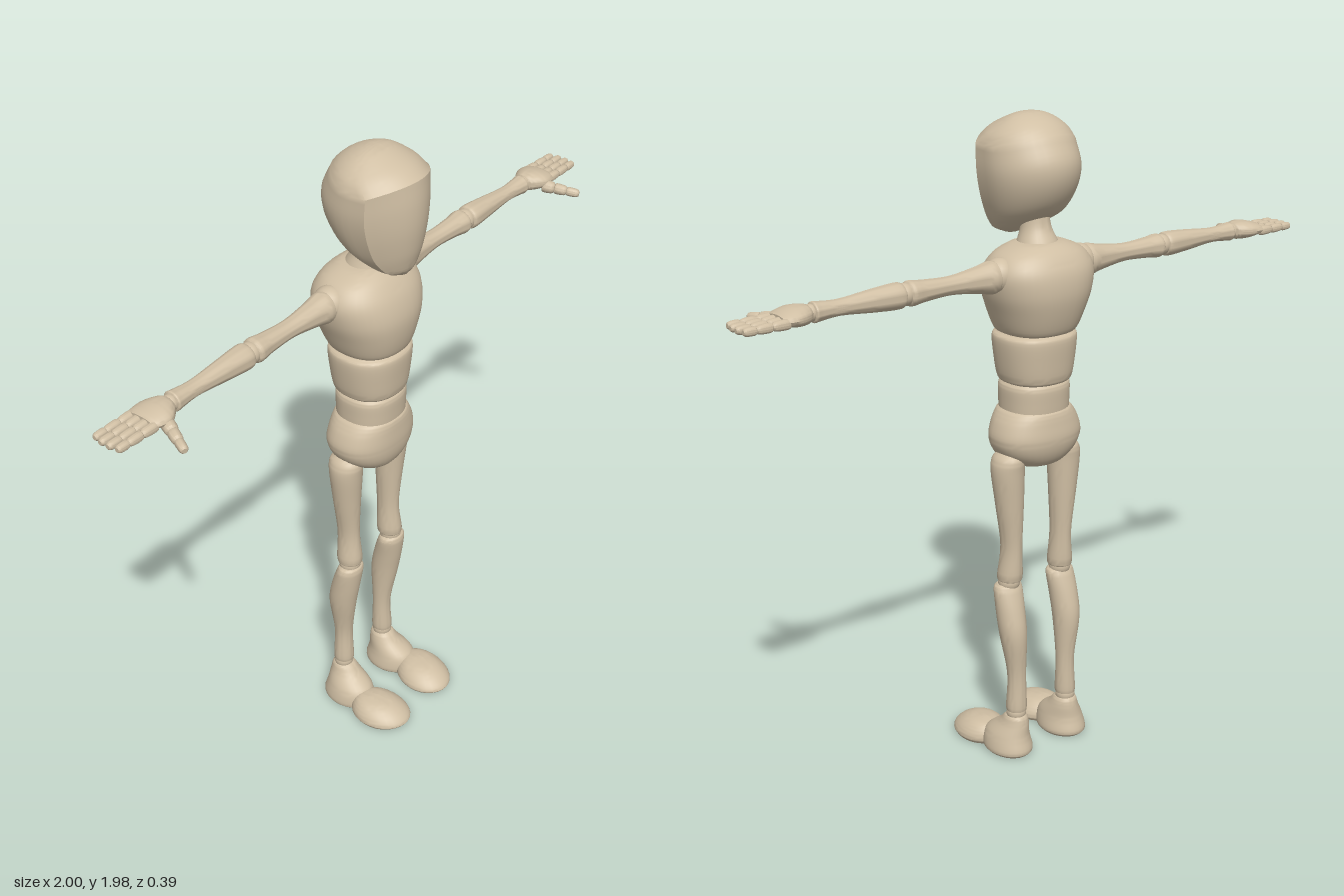
import * as THREE from 'three';
import { toCreasedNormals } from 'three/addons/utils/BufferGeometryUtils.js';

const wood = new THREE.MeshStandardMaterial({ color: 0xd0bfa4 });
wood.name = 'pale wood';

// Smoothly interpolates the rows of section values
function resample(rows, steps) {
  const curve = new THREE.CubicInterpolant(rows.map((_, i) => i), rows.flat(), rows[0].length);
  const out = [];
  for (let i = 0; i <= (rows.length - 1) * steps; i++) out.push([...curve.evaluate(i / steps)]);
  return out;
}

// Section of a row [y, centreX, centreZ, radiusX, radiusZ]
function oval([y, cx, cz, rx, rz], a) {
  return [cx + Math.max(rx, 0.001) * Math.sin(a), y, cz + Math.max(rz, 0.001) * Math.cos(a)];
}

// Squarer oval for the torso
function fullOval([y, cx, cz, rx, rz], a) {
  const p = (v) => Math.sign(v) * Math.abs(v) ** 0.87;
  return [cx + rx * p(Math.sin(a)), y, cz + rz * p(Math.cos(a))];
}

// Section of the head [y, halfWidth, front, back, faceAmount]: shallow face, straight sides, round back
function headSection([y, w, front, back, k], a) {
  const u = a > Math.PI ? a / Math.PI - 2 : a / Math.PI;
  const v = Math.abs(u), side = Math.sign(u);
  const crease = back + 0.73 * (front - back), mid = (front + back) / 2;
  let x, z;
  if (v <= 0.4001) {
    const t = v / 0.4;
    x = 0.96 * w * t;
    z = crease + (front - crease) * (1 - t * t);
  } else if (v <= 0.5501) {
    const t = (v - 0.4) / 0.15;
    x = w * (0.96 + 0.04 * t);
    z = crease + (mid - crease) * t;
  } else {
    const b = ((v - 0.55) / 0.45) * Math.PI / 2;
    x = w * Math.cos(b);
    z = mid - (mid - back) * Math.sin(b);
  }
  x = side * THREE.MathUtils.lerp(w * Math.sin(v * Math.PI), x, k);
  z = THREE.MathUtils.lerp(mid + (front - mid) * Math.cos(v * Math.PI), z, k);
  return [x, y - 1.5 * x * x, z];
}

// Closed skin over rings stacked upwards
function skin(rings, section, sides) {
  const pos = [], index = [];
  for (const r of rings) {
    for (let i = 0; i < sides; i++) pos.push(...section(r, (i / sides) * Math.PI * 2));
  }
  const n = rings.length;
  for (let j = 0; j < n - 1; j++) {
    for (let i = 0; i < sides; i++) {
      const a = j * sides + i, b = j * sides + (i + 1) % sides;
      index.push(a, b, b + sides, a, b + sides, a + sides);
    }
  }
  for (let i = 1; i < sides - 1; i++) {
    const t = (n - 1) * sides;
    index.push(0, i + 1, i, t, t + i, t + i + 1);
  }
  const g = new THREE.BufferGeometry();
  g.setAttribute('position', new THREE.Float32BufferAttribute(pos, 3));
  g.setIndex(index);
  return toCreasedNormals(g, 0.5);
}

function add(parent, name, geometry, x = 0, y = 0, z = 0) {
  const m = new THREE.Mesh(geometry, wood);
  m.name = name;
  m.position.set(x, y, z);
  parent.add(m);
  return m;
}

const loft = (rows, section = oval, sides = 28, steps = 5) => skin(resample(rows, steps), section, sides);
const ball = (r) => new THREE.SphereGeometry(r, 24, 16);

// One rounded finger joint along +y
const joint = (len, r) => loft([
  [0, 0, 0, r * 0.7, r * 0.7], [len * 0.15, 0, 0, r, r],
  [len * 0.8, 0, 0, r * 0.92, r * 0.92], [len, 0, 0, r * 0.55, r * 0.55],
], oval, 14, 3);

function buildTorso(body) {
  add(body, 'neck', loft([
    [1.58, 0, -0.055, 0.075, 0.072], [1.615, 0, -0.053, 0.06, 0.06],
    [1.66, 0, -0.045, 0.044, 0.044], [1.73, 0, -0.04, 0.04, 0.04],
  ]));
  add(body, 'chest', loft([
    [1.35, 0, -0.042, 0.1, 0.1], [1.362, 0, -0.043, 0.118, 0.118], [1.42, 0, -0.046, 0.142, 0.136],
    [1.48, 0, -0.05, 0.163, 0.143], [1.54, 0, -0.055, 0.168, 0.132], [1.585, 0, -0.057, 0.14, 0.105],
    [1.61, 0, -0.056, 0.09, 0.075], [1.617, 0, -0.055, 0.055, 0.055],
  ], fullOval, 40));
  add(body, 'abdomen', loft([
    [1.198, 0, -0.04, 0.09, 0.088], [1.21, 0, -0.04, 0.106, 0.104], [1.27, 0, -0.04, 0.117, 0.112],
    [1.335, 0, -0.04, 0.122, 0.116], [1.35, 0, -0.04, 0.108, 0.104],
  ], fullOval, 40));
  add(body, 'waist', loft([
    [1.1, 0, -0.038, 0.103, 0.095], [1.14, 0, -0.038, 0.104, 0.097],
    [1.185, 0, -0.038, 0.104, 0.098], [1.2, 0, -0.038, 0.095, 0.09],
  ], fullOval, 40));
  add(body, 'pelvis', loft([
    [0.935, 0, -0.035, 0.04, 0.045], [0.95, 0, -0.037, 0.085, 0.08], [0.985, 0, -0.04, 0.128, 0.1],
    [1.03, 0, -0.042, 0.146, 0.108], [1.075, 0, -0.04, 0.135, 0.105], [1.108, 0, -0.038, 0.115, 0.1],
    [1.12, 0, -0.037, 0.1, 0.09],
  ], fullOval, 40));
  // Head: lower face and skull cap meet at a sharp brow
  const face = resample([
    [1.622, 0.02, 0.092, 0.05, 1], [1.64, 0.055, 0.105, 0.01, 1], [1.665, 0.08, 0.114, -0.045, 1],
    [1.71, 0.107, 0.126, -0.118, 1], [1.78, 0.13, 0.136, -0.163, 1], [1.85, 0.142, 0.137, -0.172, 1],
    [1.92, 0.141, 0.13, -0.138, 1],
  ], 5);
  const cap = resample([
    [1.92, 0.141, 0.13, -0.138, 1], [1.945, 0.125, 0.092, -0.112, 0.35], [1.965, 0.09, 0.045, -0.08, 0],
    [1.977, 0.05, 0.01, -0.045, 0], [1.98, 0.001, -0.019, -0.021, 0],
  ], 5);
  add(body, 'head', skin([...face, ...cap.slice(1)], headSection, 40));
}

function buildLeg(body, s) {
  const leg = new THREE.Group();
  leg.name = s > 0 ? 'leftLeg' : 'rightLeg';
  body.add(leg);
  const part = (name, rows) => add(leg, name, loft(rows.map(([y, x, ...r]) => [y, s * x, ...r])));
  part('thigh', [
    [0.575, 0.098, -0.045, 0.03, 0.032], [0.59, 0.098, -0.045, 0.038, 0.041], [0.69, 0.096, -0.05, 0.031, 0.037],
    [0.82, 0.102, -0.05, 0.042, 0.044], [0.93, 0.107, -0.048, 0.05, 0.052], [0.975, 0.104, -0.048, 0.045, 0.052],
    [1.0, 0.1, -0.048, 0.02, 0.025],
  ]);
  add(leg, 'kneeBall', ball(0.034), s * 0.1, 0.57, -0.043);
  part('shin', [
    [0.145, 0.098, -0.076, 0.027, 0.029], [0.158, 0.098, -0.076, 0.032, 0.033], [0.27, 0.097, -0.076, 0.029, 0.03],
    [0.4, 0.105, -0.07, 0.041, 0.045], [0.48, 0.105, -0.056, 0.045, 0.045], [0.55, 0.102, -0.04, 0.047, 0.037],
    [0.565, 0.102, -0.038, 0.036, 0.028],
  ]);
  add(leg, 'ankleBall', ball(0.031), s * 0.099, 0.137, -0.076);
  part('heel', [
    [0, 0.108, -0.045, 0.062, 0.08], [0.015, 0.108, -0.045, 0.07, 0.09], [0.06, 0.107, -0.043, 0.06, 0.08],
    [0.1, 0.1, -0.066, 0.043, 0.052], [0.125, 0.099, -0.075, 0.033, 0.037], [0.132, 0.099, -0.075, 0.02, 0.022],
  ]);
  // Toe cap, longer on the inner side
  const toe = add(leg, 'toe', loft([
    [0, 0, 0.01, 0.074, 0.09], [0.015, 0, 0.01, 0.081, 0.1], [0.04, 0, 0, 0.068, 0.085],
    [0.06, 0, -0.012, 0.042, 0.055], [0.068, 0, -0.02, 0.005, 0.008],
  ]), s * 0.114, 0, 0.083);
  toe.rotation.y = -s * 0.2;
}

function buildArm(body, s) {
  const arm = new THREE.Group();
  arm.name = s > 0 ? 'leftArm' : 'rightArm';
  arm.position.set(0, 1.535, -0.064);
  body.add(arm);
  // Parts are lofted upwards, then laid along the arm
  const lay = (name, g, x = 0, y = 0, z = 0) => {
    add(arm, name, g, s * x, y, z).rotation.z = -s * Math.PI / 2;
  };
  const limb = (name, rows) => lay(name, loft(rows.map(([x, ry, rz, z = 0]) => [x, 0, z, ry, rz])));
  add(arm, 'shoulderBall', ball(0.05), s * 0.145, 0.003, 0);
  limb('upperArm', [
    [0.16, 0.04, 0.038], [0.178, 0.048, 0.045], [0.23, 0.038, 0.036], [0.32, 0.027, 0.028],
    [0.41, 0.031, 0.032], [0.455, 0.036, 0.038], [0.468, 0.027, 0.028],
  ]);
  add(arm, 'elbowBall', ball(0.032), s * 0.474, 0, 0);
  limb('forearm', [
    [0.48, 0.027, 0.028], [0.495, 0.037, 0.038], [0.57, 0.033, 0.032], [0.68, 0.023, 0.024],
    [0.745, 0.027, 0.028], [0.763, 0.029, 0.03], [0.768, 0.022, 0.022],
  ]);
  add(arm, 'wristBall', ball(0.024), s * 0.772, 0, 0);
  limb('palm', [
    [0.772, 0.014, 0.018], [0.785, 0.026, 0.036], [0.82, 0.028, 0.057, 0.003],
    [0.855, 0.021, 0.056, 0], [0.873, 0.013, 0.048, -0.002],
  ]);
  // Four fingers of three joints
  for (let f = 0; f < 4; f++) {
    const z = -0.042 + f * 0.027;
    const cuts = [0.858, 0.91, 0.957, f === 0 || f === 3 ? 0.994 : 1];
    for (let j = 0; j < 3; j++) {
      lay('fingerJoint', joint(cuts[j + 1] - cuts[j], 0.0145 - j * 0.001), cuts[j], -0.005, z);
    }
  }
  // Thumb pointing forwards and slightly outwards
  const root = new THREE.Vector3(s * 0.825, -0.014, 0.042);
  const dir = new THREE.Vector3(s * 0.045, -0.012, 0.106);
  const step = dir.length() / 3;
  dir.normalize();
  for (let j = 0; j < 3; j++) {
    const p = root.clone().addScaledVector(dir, j * step);
    const t = add(arm, 'thumbJoint', joint(step * 1.05, 0.02 - j * 0.003), p.x, p.y, p.z);
    t.quaternion.setFromUnitVectors(new THREE.Vector3(0, 1, 0), dir);
  }
}

export function createModel() {
  const body = new THREE.Group();
  body.name = 'jointedFigure';
  buildTorso(body);
  for (const s of [1, -1]) {
    buildLeg(body, s);
    buildArm(body, s);
  }
  return body;
}
